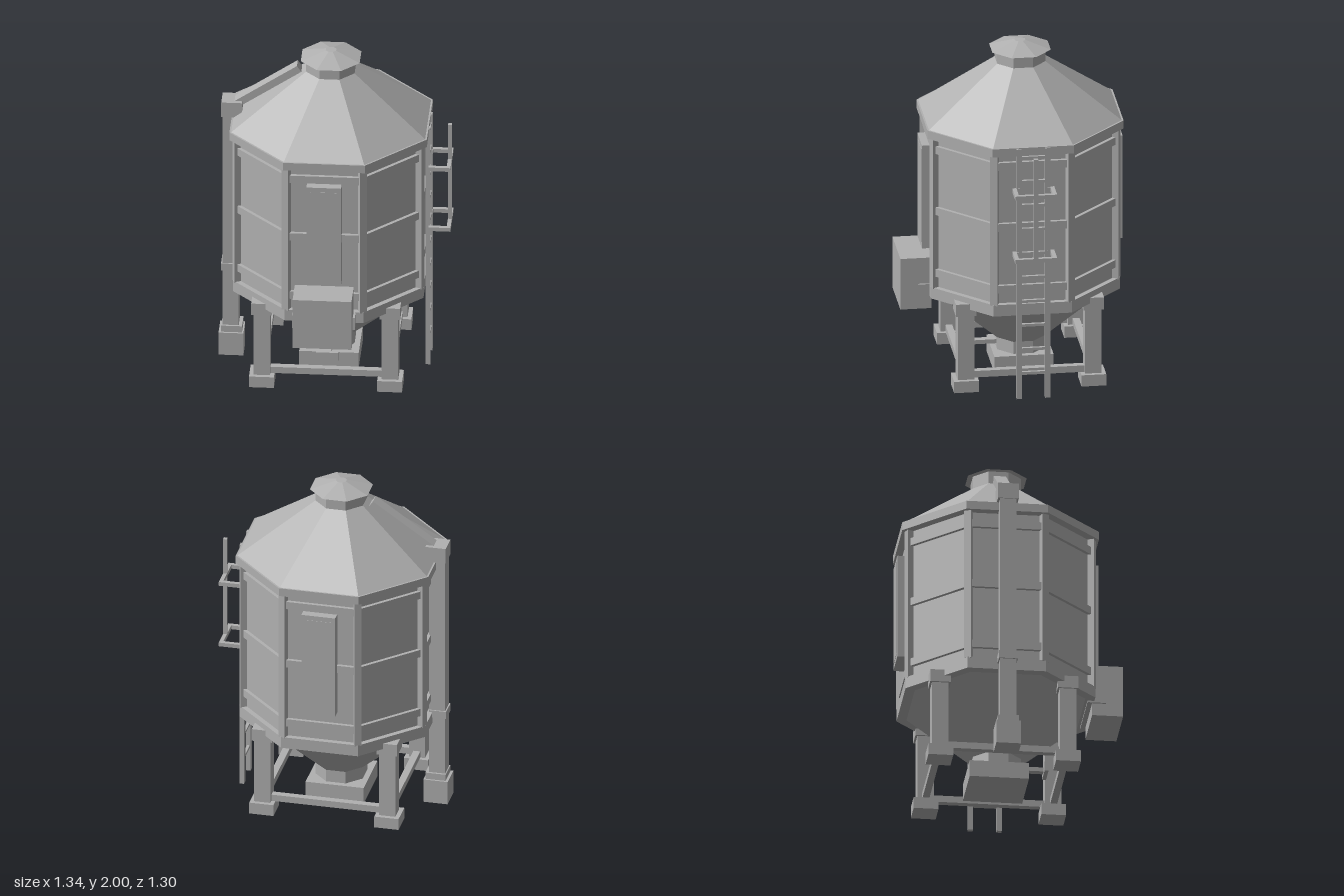
import * as THREE from 'three';

const CX = -0.03, CZ = -0.07; // vertical axis of the tank

export function createModel() {
  const model = new THREE.Group();
  model.name = 'silo';
  const grey = new THREE.MeshStandardMaterial({ color: 0xb0b0b0, flatShading: true });
  grey.name = 'plain grey';

  const add = (name, geometry, parent = model) => {
    const mesh = new THREE.Mesh(geometry, grey);
    mesh.name = name;
    parent.add(mesh);
    return mesh;
  };
  const group = (name) => {
    const g = new THREE.Group();
    g.name = name;
    model.add(g);
    return g;
  };
  // Box from its minimum and maximum corners
  const box = (name, x0, x1, y0, y1, z0, z1, parent) => {
    const mesh = add(name, new THREE.BoxGeometry(x1 - x0, y1 - y0, z1 - z0), parent);
    mesh.position.set((x0 + x1) / 2, (y0 + y1) / 2, (z0 + z1) / 2);
    return mesh;
  };
  // Square block centred on x, z
  const block = (name, x, z, half, y0, y1, parent) =>
    box(name, x - half, x + half, y0, y1, z - half, z + half, parent);
  // Octagonal frustum, sized from axis to flat side
  const octagon = (name, bottom, top, y0, y1, parent) => {
    const k = 1 / Math.cos(Math.PI / 8);
    const geo = new THREE.CylinderGeometry(top * k, bottom * k, y1 - y0, 8);
    geo.rotateY(Math.PI / 8);
    const mesh = add(name, geo, parent);
    mesh.position.set(CX, (y0 + y1) / 2, CZ);
    return mesh;
  };

  // Tank, roof and hopper
  octagon('outletNeck', 0.14, 0.14, 0.08, 0.18);
  octagon('hopper', 0.14, 0.5, 0.175, 0.515);
  octagon('lowerRim', 0.55, 0.55, 0.51, 0.58);
  octagon('tankWall', 0.52, 0.52, 0.57, 1.52);
  octagon('eaveRim', 0.57, 0.57, 1.51, 1.56);
  octagon('roof', 0.56, 0.14, 1.56, 1.88);
  octagon('roofNeck', 0.14, 0.14, 1.85, 1.957);
  octagon('roofCap', 0.17, 0.03, 1.955, 2.0);
  for (const y of [0.648, 1.033, 1.413]) octagon('tankBand', 0.54, 0.54, y, y + 0.047);

  // Corner posts
  for (let i = 0; i < 8; i++) {
    const a = Math.PI / 8 + i * Math.PI / 4;
    const post = add('cornerPost', new THREE.BoxGeometry(0.042, 0.94, 0.05));
    post.position.set(CX + Math.sin(a) * 0.567, 1.045, CZ + Math.cos(a) * 0.567);
    post.rotation.y = a;
  }

  // Hatches on the front and back walls
  for (const s of [1, -1]) {
    const hatch = group(s > 0 ? 'frontHatch' : 'backHatch');
    hatch.position.set(CX, 1.09, CZ + s * 0.55);
    add('hatchSlab', new THREE.BoxGeometry(0.2, 0.64, 0.066), hatch);
    const panel = add('hatchPanel', new THREE.BoxGeometry(0.15, 0.58, 0.004), hatch);
    panel.position.z = s * 0.033;
  }

  // Legs with feet, caps and braces
  for (const sx of [-1, 1]) {
    for (const sz of [-1, 1]) {
      const x = CX + sx * 0.37, z = CZ + sz * 0.37;
      const leg = group('leg');
      block('legFoot', x, z, 0.072, 0, 0.07, leg);
      block('legColumn', x, z, 0.048, 0.07, 0.5, leg);
      block('legCap', x, z, 0.06, 0.47, 0.545, leg);
    }
    const x = CX + sx * 0.37, z = CZ + sx * 0.37;
    box('sideBrace', x - 0.02, x + 0.02, 0.07, 0.11, CZ - 0.37, CZ + 0.37);
    box('crossBrace', CX - 0.37, CX + 0.37, 0.07, 0.11, z - 0.02, z + 0.02);
  }

  // Outlet base and slide handle
  block('outletBase', CX, CZ, 0.172, 0, 0.1);
  box('slideRod', CX - 0.02, CX + 0.02, 0.122, 0.147, 0.05, 0.22);
  box('slideHandle', CX - 0.065, CX + 0.065, 0.108, 0.165, 0.205, 0.228);

  // Control box on the front
  box('controlBox', -0.2, 0.14, 0.425, 0.74, 0.468, 0.648);
  box('controlBoxBracket', -0.212, 0.152, 0.5, 0.58, 0.44, 0.547);

  // Filling pipe on the right
  const pipe = group('fillPipe');
  block('pipeFoot', -0.603, CZ, 0.072, 0, 0.145, pipe);
  block('pipeCollar', -0.6, CZ, 0.06, 0.145, 0.185, pipe);
  block('pipeColumn', -0.607, CZ, 0.047, 0.18, 1.6, pipe);
  box('pipeClamp', -0.662, -0.56, 0.545, 0.592, CZ - 0.055, CZ + 0.055, pipe);
  block('pipeHead', -0.6, CZ, 0.06, 1.562, 1.657, pipe);
  const chute = add('chute', new THREE.BoxGeometry(0.45, 0.045, 0.072), pipe);
  chute.position.set(-0.398, 1.757, CZ);
  chute.rotation.z = Math.atan2(0.245, 0.36);

  // Ladder with safety hoops on the left
  const ladder = group('ladder');
  for (const s of [-1, 1]) {
    const z = CZ + s * 0.083;
    box('ladderRail', 0.523, 0.55, 0, 1.555, z - 0.015, z + 0.015, ladder);
  }
  for (let i = 1; i <= 10; i++) {
    const y = 0.008 + i * 0.149;
    box('rung', 0.528, 0.545, y - 0.008, y + 0.008, CZ - 0.08, CZ + 0.08, ladder);
  }
  for (const y of [0.905, 1.3]) {
    for (const s of [-1, 1]) {
      const z = CZ + s * 0.11;
      box('hoopArm', 0.54, 0.668, y - 0.012, y + 0.012, z - 0.012, z + 0.012, ladder);
      box('hoopJoint', 0.54, 0.553, y - 0.012, y + 0.012,
        Math.min(z, CZ + s * 0.08), Math.max(z, CZ + s * 0.08), ladder);
    }
    box('hoopBar', 0.645, 0.668, y - 0.012, y + 0.012, CZ - 0.122, CZ + 0.122, ladder);
  }
  box('guardBar', 0.646, 0.668, 0.895, 1.535, CZ - 0.012, CZ + 0.012, ladder);

  return model;
}
